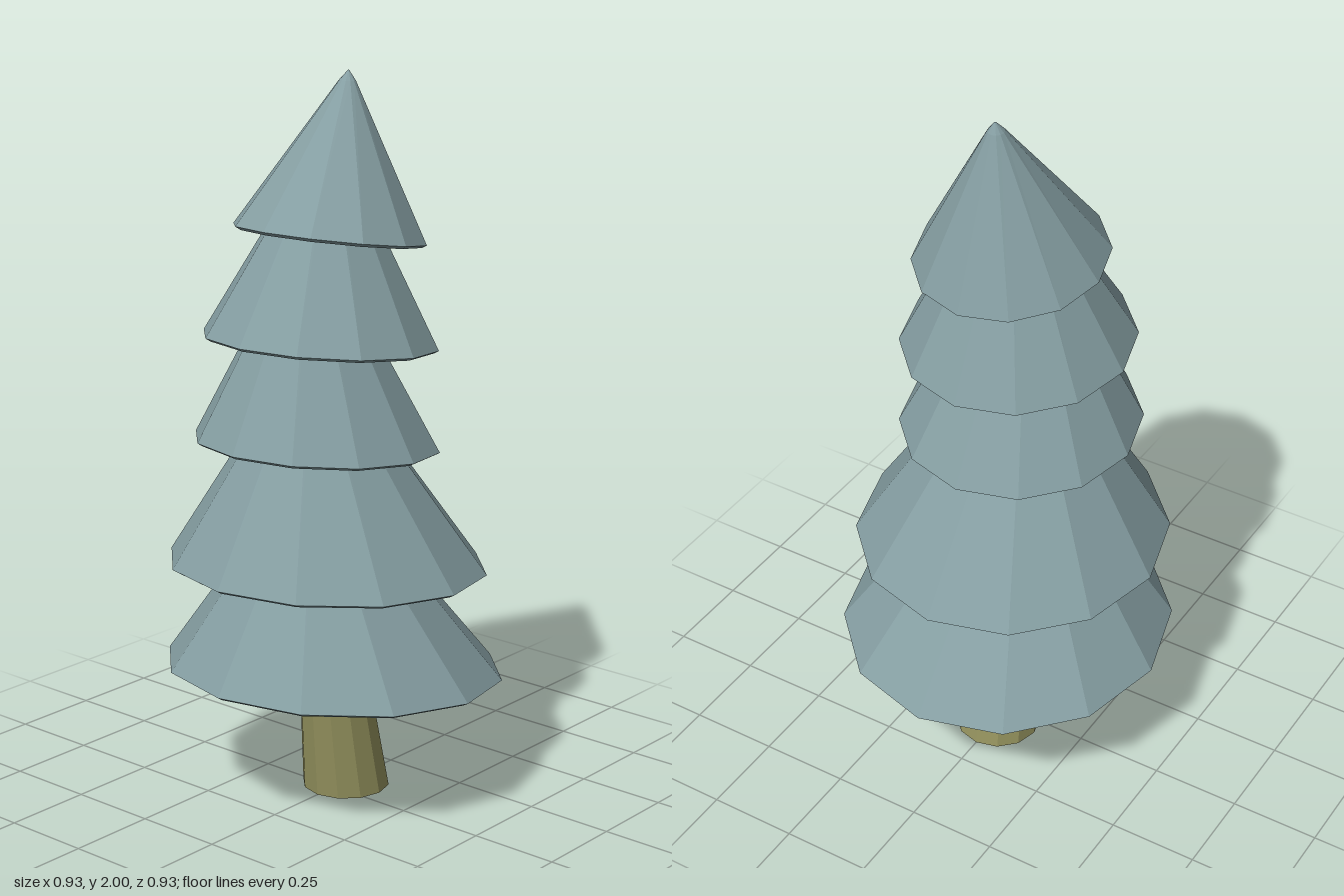
import * as THREE from 'three';

const SIDES = 12;

// One ring of points: centre (y, z), radius r, tilted by slope dy/dz
function ring(y, z, r, slope) {
  return Array.from({ length: SIDES }, (_, i) => {
    const a = (i / SIDES) * Math.PI * 2;
    const dz = r * Math.cos(a);
    return [r * Math.sin(a), y + slope * dz, z + dz];
  });
}

// Skin consecutive rings with quads, outward when listed bottom to top
function loft(rings, caps = false) {
  const pos = [];
  const tri = (a, b, c) => pos.push(...a, ...b, ...c);
  for (let k = 0; k < rings.length - 1; k++) {
    const lo = rings[k], hi = rings[k + 1];
    for (let i = 0; i < SIDES; i++) {
      const j = (i + 1) % SIDES;
      tri(lo[i], lo[j], hi[j]);
      tri(lo[i], hi[j], hi[i]);
    }
  }
  if (caps) {
    const b = rings[0], t = rings[rings.length - 1];
    for (let i = 1; i < SIDES - 1; i++) {
      tri(b[0], b[i + 1], b[i]);
      tri(t[0], t[i], t[i + 1]);
    }
  }
  const g = new THREE.BufferGeometry();
  g.setAttribute('position', new THREE.Float32BufferAttribute(pos, 3));
  g.computeVertexNormals();
  return g;
}

// Tilted cone: hollowed underside, bevelled lip, outer wall, blunt tip
function tierGeometry({ front, back, r, tip }) {
  const y = (front[1] + back[1]) / 2, z = (front[0] + back[0]) / 2;
  const slope = (front[1] - back[1]) / (front[0] - back[0]);
  const at = (t) => [y + (tip[1] - y) * t, z + (tip[0] - z) * t];
  const inner = at(0.5), neck = at(0.935);
  return loft([
    ring(inner[0], inner[1], 0.001, 0),
    ring(y - 0.008, z, r - 0.014, slope),
    ring(y, z, r, slope),
    ring(neck[0], neck[1], 0.023, slope * 0.3),
    ring(tip[1], tip[0], 0.001, 0),
  ]);
}

export function createModel() {
  const foliage = new THREE.MeshStandardMaterial({ color: 0x859ea2, flatShading: true });
  foliage.name = 'blue green foliage';
  const bark = new THREE.MeshStandardMaterial({ color: 0x93915d, flatShading: true });
  bark.name = 'olive bark';

  const tree = new THREE.Group();
  tree.name = 'pineTree';

  // Leaning, tapered trunk running up into the lowest tier
  const trunk = new THREE.Mesh(
    loft([ring(0, -0.05, 0.122, 0), ring(0.7, 0.055, 0.071, 0)], true), bark);
  trunk.name = 'trunk';
  tree.add(trunk);

  // Branch tiers: front and back rim points and tip as [z, y]
  const tiers = [
    { front: [0.462, 0.405], back: [-0.46, 0.335], r: 0.467, tip: [0.085, 1.01] },
    { front: [0.462, 0.70], back: [-0.405, 0.647], r: 0.437, tip: [0.095, 1.34] },
    { front: [0.40, 1.05], back: [-0.257, 0.993], r: 0.332, tip: [0.1, 1.64] },
    { front: [0.37, 1.33], back: [-0.257, 1.265], r: 0.317, tip: [0.02, 1.87] },
    { front: [0.27, 1.617], back: [-0.231, 1.535], r: 0.259, tip: [-0.057, 2.0] },
  ];
  tiers.forEach((t, i) => {
    const m = new THREE.Mesh(tierGeometry(t), foliage);
    m.name = `branchTier${i + 1}`;
    tree.add(m);
  });
  return tree;
}
